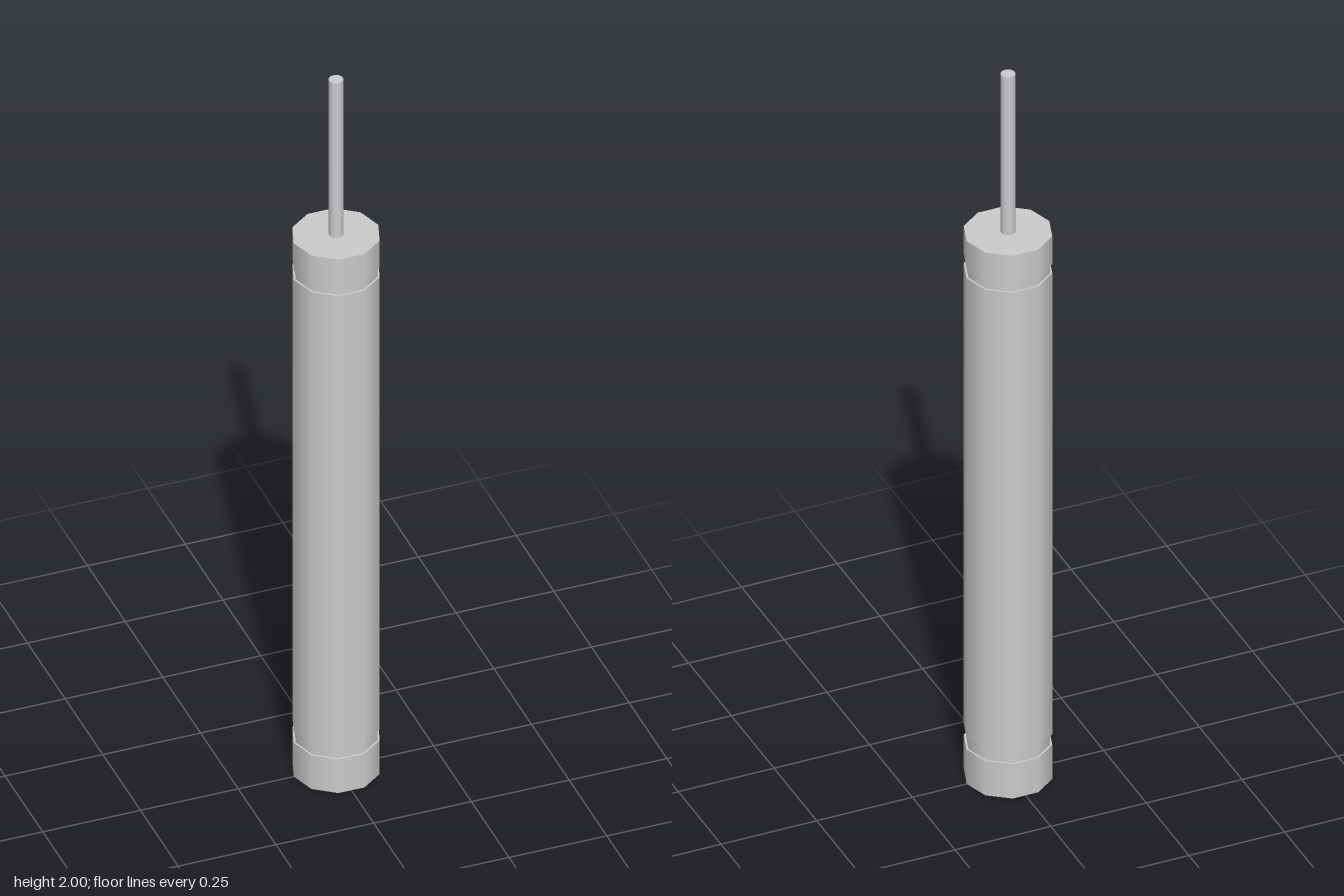
import * as THREE from 'three';

export function createModel() {
  const group = new THREE.Group();
  const material = new THREE.MeshStandardMaterial({ color: 0xcccccc });

  // Upright cylinder between two heights, with a corner on the x axis
  function addSection(name, radius, bottom, top, sides) {
    const geometry = new THREE.CylinderGeometry(
      radius, radius, top - bottom, sides, 1, false, Math.PI / 2);
    const mesh = new THREE.Mesh(geometry, material);
    mesh.name = name;
    mesh.position.y = (bottom + top) / 2;
    group.add(mesh);
  }

  // Ten-sided housing: end caps and barrel separated by shallow grooves
  addSection('bottomCap', 0.108, 0, 0.098, 10);
  addSection('bottomGroove', 0.103, 0.098, 0.129, 10);
  addSection('barrel', 0.108, 0.129, 1.444, 10);
  addSection('topGroove', 0.103, 1.444, 1.47, 10);
  addSection('topCap', 0.108, 1.47, 1.55, 10);

  // Thin piston rod
  addSection('rod', 0.018, 1.55, 2, 14);

  return group;
}
